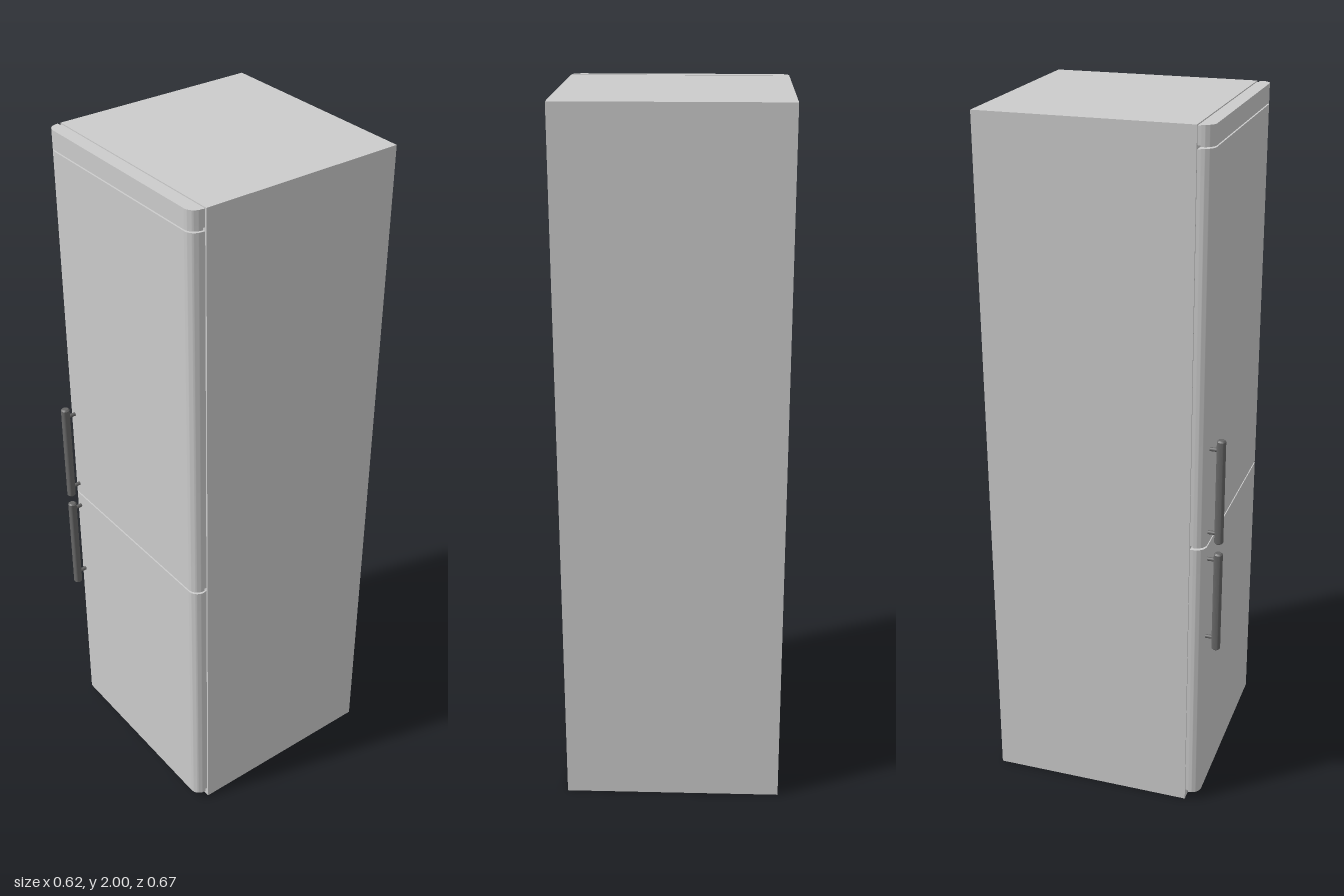
import * as THREE from 'three';
import { toCreasedNormals } from 'three/addons/utils/BufferGeometryUtils.js';

const grey = new THREE.MeshStandardMaterial({ color: 0xcccccc });
const dark = new THREE.MeshStandardMaterial({ color: 0x666666 });

function add(parent, name, geometry, material, x = 0, y = 0, z = 0) {
  const mesh = new THREE.Mesh(geometry, material);
  mesh.name = name;
  mesh.position.set(x, y, z);
  parent.add(mesh);
  return mesh;
}

// Front panel: plan outline with rounded front corners, extruded upwards
function panelGeometry(height) {
  const w = 0.309, back = 0.259, front = 0.292, r = 0.03;
  const s = new THREE.Shape();
  s.moveTo(-w, -back);
  s.lineTo(-w, -(front - r));
  s.absarc(-w + r, -(front - r), r, Math.PI, Math.PI * 1.5, false);
  s.absarc(w - r, -(front - r), r, Math.PI * 1.5, Math.PI * 2, false);
  s.lineTo(w, -back);
  s.closePath();
  const g = new THREE.ExtrudeGeometry(s, { depth: height, bevelEnabled: false, curveSegments: 10 });
  g.rotateX(-Math.PI / 2);
  return toCreasedNormals(g, 0.6);
}

// Round bar with chamfered ends on two short posts
function addHandle(parent, name, y0, y1, postHeights) {
  const handle = new THREE.Group();
  handle.name = name;
  const r = 0.0125, c = 0.004, x = -0.272, z = 0.3225;
  const profile = [[0, y0], [r - c, y0], [r, y0 + c], [r, y1 - c], [r - c, y1], [0, y1]]
    .map(([a, b]) => new THREE.Vector2(a, b));
  add(handle, 'handleBar', toCreasedNormals(new THREE.LatheGeometry(profile, 24), 0.6), dark, x, 0, z);
  for (const y of postHeights) {
    const post = new THREE.CylinderGeometry(0.0055, 0.0055, 0.036, 16).rotateX(Math.PI / 2);
    add(handle, 'handlePost', post, dark, x, y, 0.306);
  }
  parent.add(handle);
}

export function createModel() {
  const group = new THREE.Group();
  group.name = 'fridgeFreezer';

  // Cabinet
  add(group, 'cabinet', new THREE.BoxGeometry(0.62, 2, 0.587), grey, 0, 1, -0.0435);

  // Doors and top trim, each with a recessed seal behind it
  const panels = [
    ['lowerDoor', 0.027, 0.848],
    ['upperDoor', 0.854, 1.943],
    ['topTrim', 1.947, 2],
  ];
  for (const [name, y0, y1] of panels) {
    add(group, name, panelGeometry(y1 - y0), grey, 0, y0, 0);
    const sealHeight = y1 - y0 - 0.006;
    add(group, name + 'Seal', new THREE.BoxGeometry(0.61, sealHeight, 0.012), grey, 0, (y0 + y1) / 2, 0.2545);
  }

  // Handles on the model's right side
  addHandle(group, 'upperHandle', 0.86, 1.17, [0.89, 1.14]);
  addHandle(group, 'lowerHandle', 0.52, 0.83, [0.557, 0.807]);
  return group;
}
